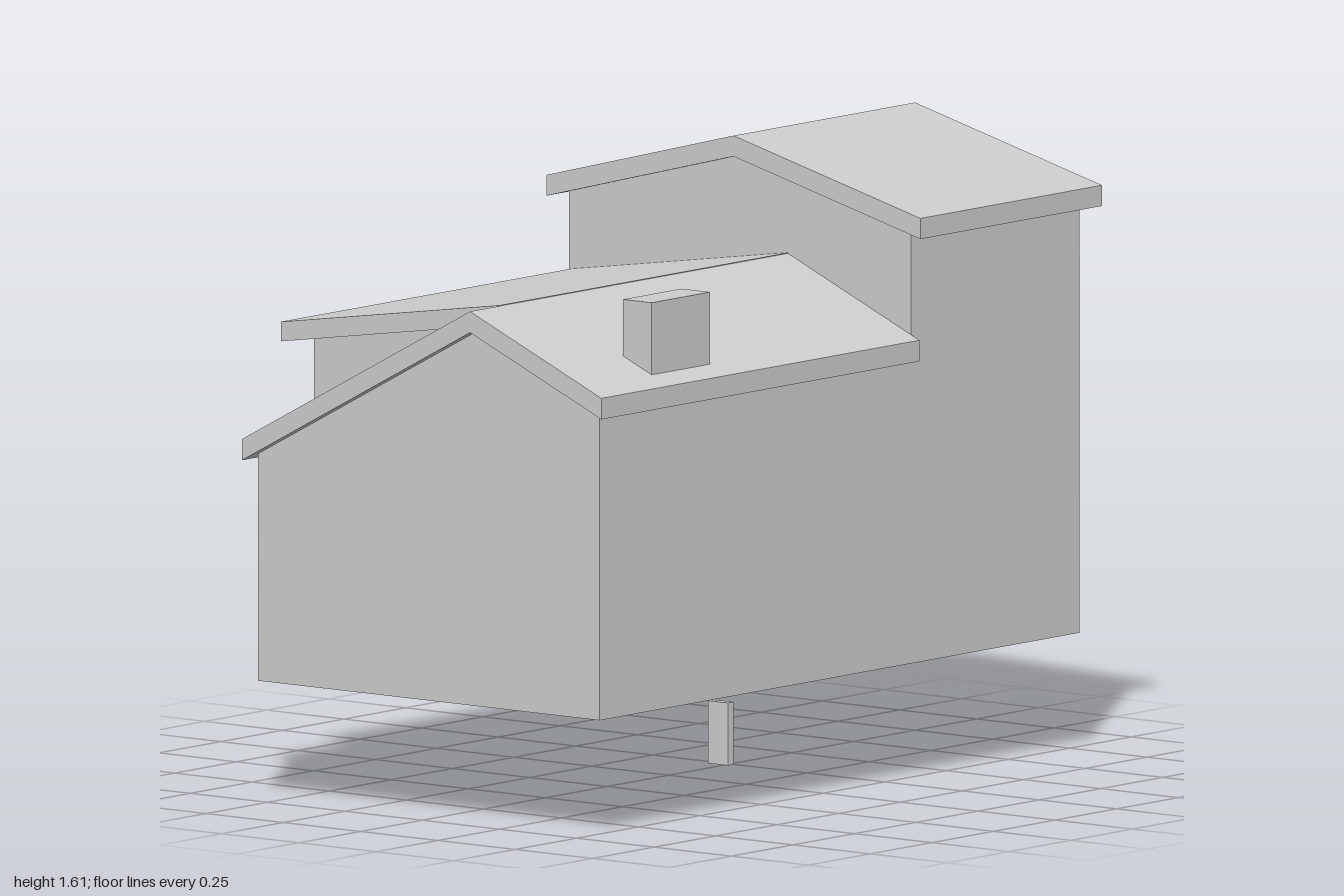
import * as THREE from 'three';

export function createModel() {
  const house = new THREE.Group();
  house.name = 'house';
  const plaster = new THREE.MeshStandardMaterial({ color: 0xcccccc });
  plaster.name = 'light grey';

  const BASE = 0.303; // foot of the walls
  const WALL = 0.004; // wall thickness
  const HX = 0.973; // half length of the walls
  const HZ = 0.553; // half depth of the walls

  const toShape = (pts) => new THREE.Shape(pts.map(([a, b]) => new THREE.Vector2(a, b)));
  const add = (name, geometry) => {
    const mesh = new THREE.Mesh(geometry, plaster);
    mesh.name = name;
    house.add(mesh);
    return mesh;
  };
  // Box given by its extents
  const box = (name, x0, x1, y0, y1, z0, z1) =>
    add(name, new THREE.BoxGeometry(x1 - x0, y1 - y0, z1 - z0)
      .translate((x0 + x1) / 2, (y0 + y1) / 2, (z0 + z1) / 2));
  // Profile of [z, y] points swept from x0 to x1
  const sweepX = (name, pts, x0, x1) =>
    add(name, new THREE.ExtrudeGeometry(toShape(pts), { depth: x1 - x0, bevelEnabled: false })
      .rotateY(-Math.PI / 2).translate(x1, 0, 0));
  // Outline of [x, y] points swept from z0 to z1, with an optional hole
  const sweepZ = (name, pts, z0, z1, hole) => {
    const shape = toShape(pts);
    if (hole) shape.holes.push(new THREE.Path(hole.map(([a, b]) => new THREE.Vector2(a, b))));
    return add(name, new THREE.ExtrudeGeometry(shape, { depth: z1 - z0, bevelEnabled: false })
      .translate(0, 0, z0));
  };
  // Roof slab: top line of [z, y] points with a constant vertical thickness
  const roof = (name, top, x0, x1, t) =>
    sweepX(name, [...top, ...top.map(([z, y]) => [z, y - t]).reverse()], x0, x1);

  // Long walls, with the doorway in the back one
  const wallOutline = (eave) => [
    [-HX, BASE], [HX, BASE], [HX, 1.41], [0.29, 1.41], [0.29, eave], [-HX, eave],
  ];
  sweepZ('frontWall', wallOutline(1.1), HZ - WALL, HZ);
  sweepZ('backWall', wallOutline(0.9), -HZ, -HZ + WALL,
    [[0.07, 0.398], [0.07, 0.68], [0.18, 0.735], [0.28, 0.68], [0.28, 0.398]]);

  // End walls and the inner side of the tower
  sweepX('lowEndWall',
    [[HZ, BASE], [HZ, 1.1], [0.155, 1.28], [-HZ, 0.9], [-HZ, BASE]], -HX, -HX + WALL);
  const towerSide = (base) =>
    [[HZ, base], [HZ, 1.42], [0, 1.57], [-HZ, 1.42], [-HZ, base]];
  sweepX('towerEndWall', towerSide(BASE), HX - WALL, HX);
  sweepX('towerInnerWall', towerSide(0.85), 0.29, 0.29 + WALL);

  // Roofs
  roof('towerRoof', [[0.605, 1.449], [0, 1.605], [-0.605, 1.449]], 0.263, 1, 0.053);
  roof('mainRoof', [[0.58, 1.132], [0.155, 1.315], [-0.583, 0.921]], -1, 0.29, 0.054);

  // Shed dormer
  roof('dormerRoof', [[0.155, 1.317], [-HZ, 1.21]], -0.88, 0.29, 0.05);
  box('dormerFrontWall', -0.817, 0.29, 0.94, 1.19, -0.495, -0.485);
  sweepX('dormerSideWall', [[-0.495, 0.95], [-0.495, 1.19], [0.1, 1.275]], -0.817, -0.807);

  // Chimney
  box('chimney', -0.727, -0.49, 1.1, 1.34, 0.432, 0.525);

  // Door surround: two posts joined by a pointed head
  sweepZ('doorSurround', [
    [0.025, BASE], [0.07, BASE], [0.07, 0.68], [0.18, 0.735], [0.28, 0.68], [0.28, BASE],
    [0.335, BASE], [0.335, 0.74], [0.18, 0.79], [0.025, 0.74],
  ], -0.58, -0.515);

  // Steps climbing through the doorway
  for (let i = 0; i < 7; i++) {
    const y = 0.398 + i * 0.016;
    const z = -0.605 + i * 0.0125;
    box('step', 0.08, 0.28, y, y + 0.016, z, z + 0.015);
  }

  // Floor, with beams hanging under it
  box('floor', -0.969, 0.969, 0.515, 0.522, -0.535, 0.549);
  [
    [0.27, 0.72, -0.16, -0.13],
    [0.24, 0.27, -0.16, 0.1],
    [-0.27, 0.27, 0.08, 0.09, 0.505],
    [-0.3, -0.27, 0.09, 0.45],
    [0.29, 0.32, 0.46, 0.5],
    [-0.53, -0.5, 0.47, 0.5],
    [-0.78, -0.75, 0.47, 0.5],
  ].forEach(([x0, x1, z0, z1, y0 = 0.48]) => box('floorBeam', x0, x1, y0, 0.515, z0, z1));

  // Small post below the house
  box('lowerPost', 0.225, 0.248, 0, 0.16, -0.052, 0.012);

  return house;
}
